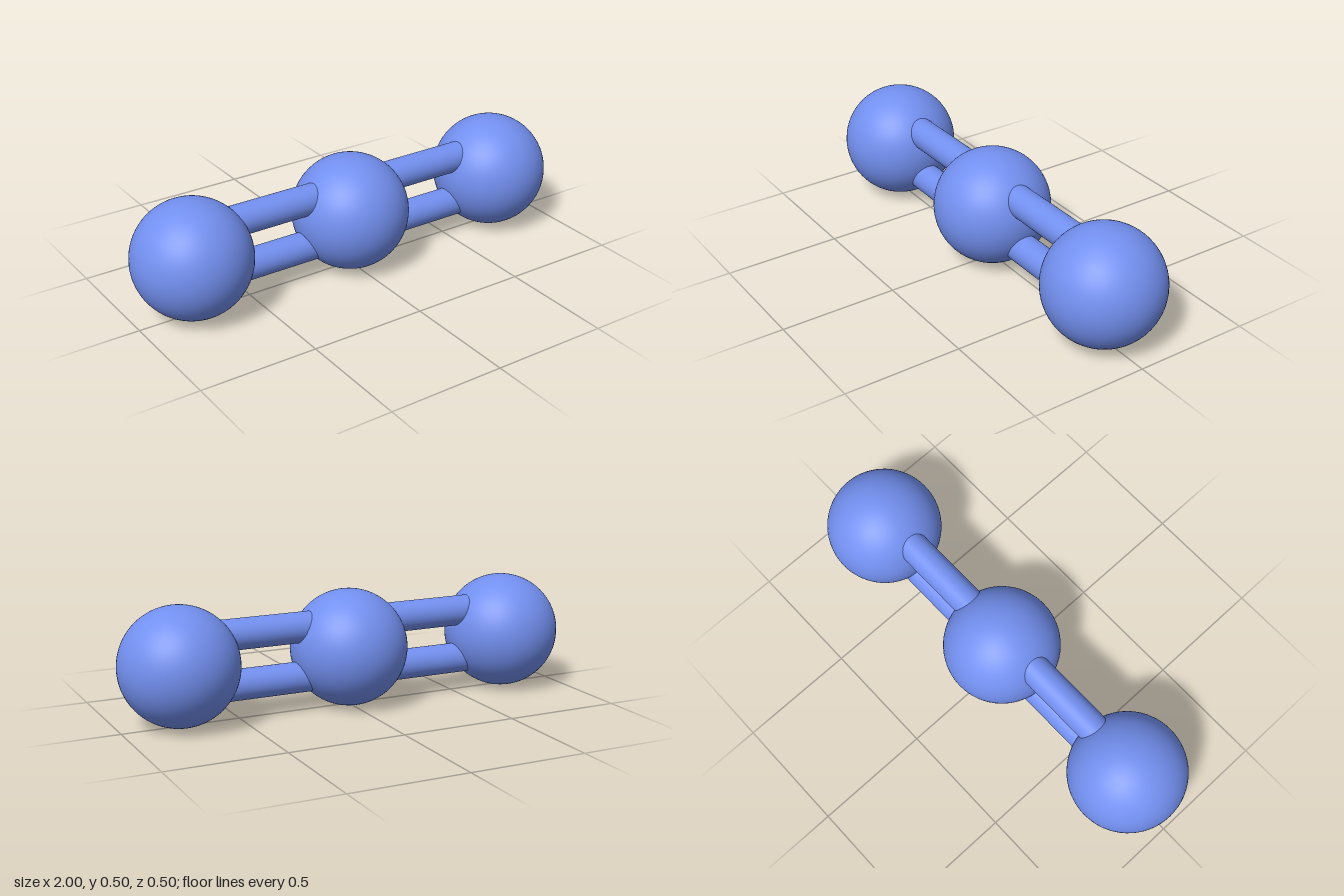
import * as THREE from 'three';

const RADIUS = 0.248;   // ball radius
const SPACING = 0.752;  // distance between ball centres
const ROD_RADIUS = 0.065;
const ROD_OFFSET = 0.106; // rod height above and below the axis

export function createModel() {
  const group = new THREE.Group();
  group.name = 'ballAndStickChain';
  const material = new THREE.MeshStandardMaterial({ color: 0x7390f0 });

  const add = (name, geometry, x, y) => {
    const mesh = new THREE.Mesh(geometry, material);
    mesh.name = name;
    mesh.position.set(x, y, 0);
    group.add(mesh);
  };

  // Three equal balls in a row
  const ball = new THREE.SphereGeometry(RADIUS, 64, 40);
  [['rightBall', -1], ['centreBall', 0], ['leftBall', 1]].forEach(([name, i]) =>
    add(name, ball, i * SPACING, RADIUS));

  // A pair of parallel rods on each side, running from ball to ball
  const rod = new THREE.CylinderGeometry(ROD_RADIUS, ROD_RADIUS, SPACING, 40);
  rod.rotateZ(Math.PI / 2);
  for (const [side, sx] of [['right', -1], ['left', 1]]) {
    for (const [level, sy] of [['Lower', -1], ['Upper', 1]]) {
      add(`${side}${level}Rod`, rod, sx * SPACING / 2, RADIUS + sy * ROD_OFFSET);
    }
  }
  return group;
}
